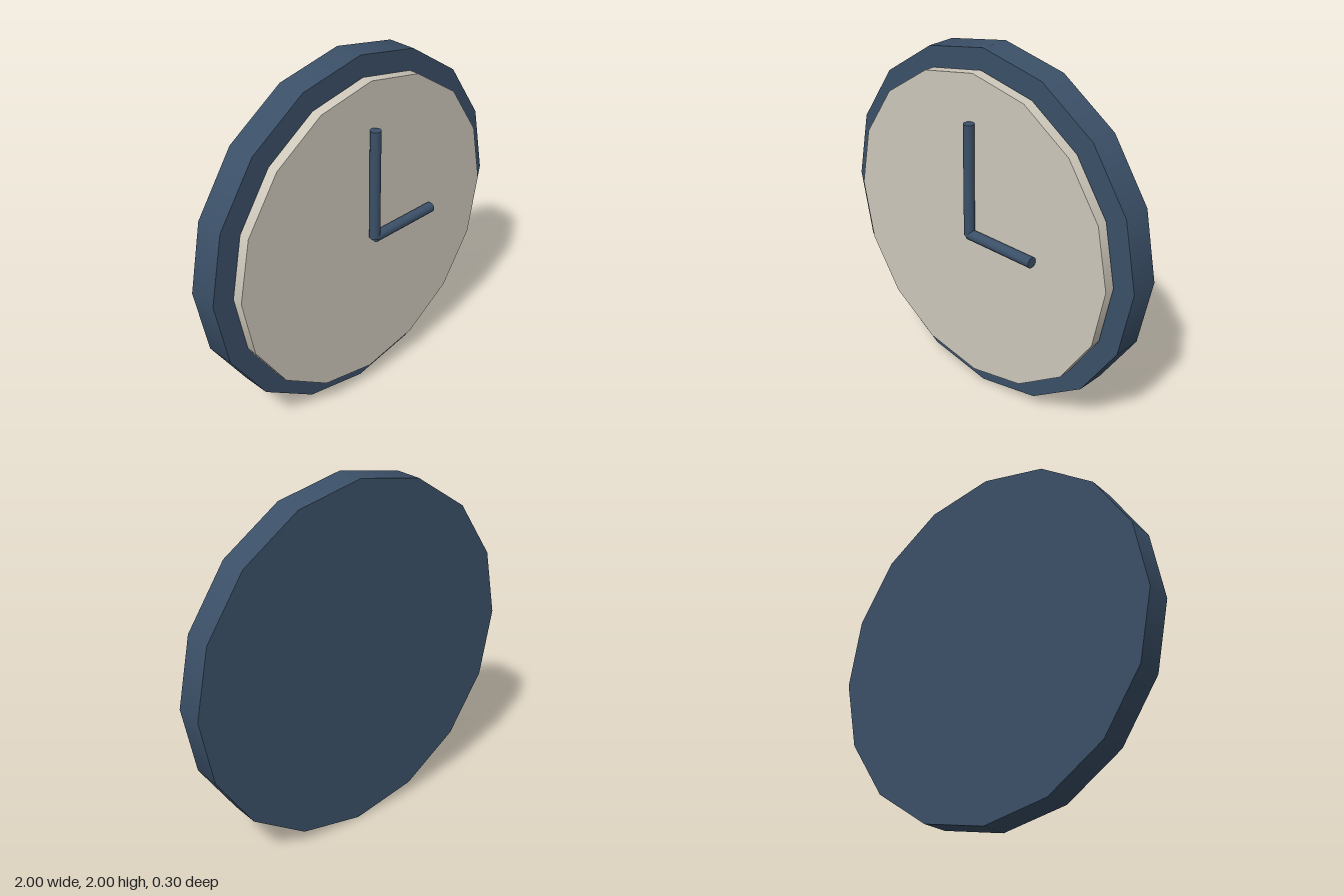
import * as THREE from 'three';

export function createModel() {
  const group = new THREE.Group();
  const navy = new THREE.MeshStandardMaterial({ color: 0x3b5068 });
  const cream = new THREE.MeshStandardMaterial({ color: 0xcfc9bc });

  function add(name, geometry, material, x, y, z) {
    const mesh = new THREE.Mesh(geometry, material);
    mesh.name = name;
    mesh.position.set(x, y, z);
    group.add(mesh);
  }

  // Sixteen-sided disc spanning z0 to z1, axis along z
  const disc = (name, radius, z0, z1, material) =>
    add(name, new THREE.CylinderGeometry(radius, radius, z1 - z0, 16).rotateX(Math.PI / 2),
      material, 0, 1, (z0 + z1) / 2);

  disc('clockBody', 1, -0.15, 0.013, navy);
  disc('clockFace', 0.888, 0.03, 0.09, cream);

  // Round hands starting at the centre of the face
  const hand = length => new THREE.CylinderGeometry(0.03, 0.03, length, 12).translate(0, length / 2, 0);
  add('minuteHand', hand(0.63), navy, 0, 1, 0.12);
  add('hourHand', hand(0.44).rotateZ(-Math.PI / 2), navy, 0, 1, 0.12);

  return group;
}
